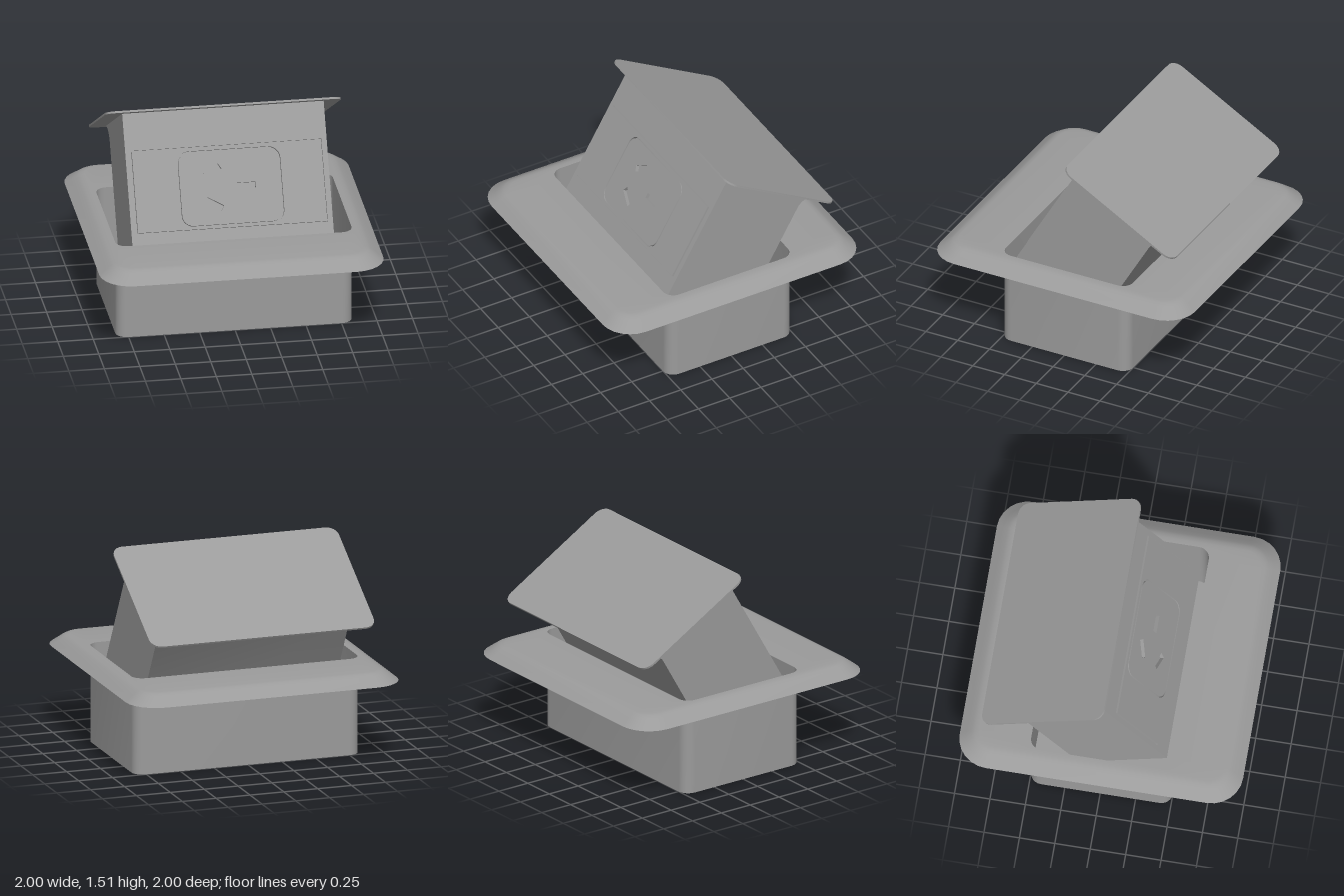
import * as THREE from 'three';
import { toCreasedNormals } from 'three/addons/utils/BufferGeometryUtils.js';

const solid = new THREE.MeshStandardMaterial({ color: 0x9b9b9b });
const sheet = new THREE.MeshStandardMaterial({ color: 0x9b9b9b, side: THREE.DoubleSide });

function addMesh(parent, name, geometry, material = solid) {
  const mesh = new THREE.Mesh(toCreasedNormals(geometry, 0.5), material);
  mesh.name = name;
  parent.add(mesh);
}

// Skin through rounded rectangles [halfX, halfZ, cornerRadius, y]
function loft(rings) {
  const steps = 6, count = 4 * (steps + 1);
  const positions = [], index = [];
  for (const [hx, hz, r, y] of rings) {
    for (let c = 0; c < 4; c++) {
      const sx = c === 0 || c === 3 ? 1 : -1, sz = c < 2 ? -1 : 1;
      for (let s = 0; s <= steps; s++) {
        const a = (c + s / steps) * Math.PI / 2;
        positions.push(sx * (hx - r) + r * Math.cos(a), y, sz * (hz - r) - r * Math.sin(a));
      }
    }
  }
  for (let i = 0; i < rings.length - 1; i++) {
    for (let j = 0; j < count; j++) {
      const k = (j + 1) % count;
      const a = i * count + j, b = i * count + k;
      index.push(a, b, b + count, a, b + count, a + count);
    }
  }
  const geometry = new THREE.BufferGeometry();
  geometry.setAttribute('position', new THREE.Float32BufferAttribute(positions, 3));
  geometry.setIndex(index);
  return geometry;
}

// Rounded rectangle outline, optionally turned about its centre
function roundedRect(PathType, cx, cy, w, h, r, turn = 0) {
  const points = [];
  const steps = r > 0 ? 6 : 0;
  for (let c = 0; c < 4; c++) {
    const sx = c === 0 || c === 3 ? 1 : -1, sy = c < 2 ? 1 : -1;
    for (let s = 0; s <= steps; s++) {
      const a = (c + (steps ? s / steps : 0)) * Math.PI / 2;
      const p = new THREE.Vector2(sx * (w / 2 - r) + r * Math.cos(a), sy * (h / 2 - r) + r * Math.sin(a));
      points.push(p.rotateAround(new THREE.Vector2(), turn).add(new THREE.Vector2(cx, cy)));
    }
  }
  return new PathType(points);
}

// Extrude an outline between two depths
function slab(shape, z0, z1) {
  return new THREE.ExtrudeGeometry(shape, { depth: z1 - z0, bevelEnabled: false }).translate(0, 0, z0);
}

export function createModel() {
  const model = new THREE.Group();
  model.name = 'popUpSocket';

  // Open-topped thin box
  const wall = [0.833, 0.5, 0.08];
  addMesh(model, 'housing', loft([[0, 0, 0, 0], [...wall, 0], [...wall, 0.695]]), sheet);

  // Thin sloping rim, hollow underneath, from the outer edge to the opening
  addMesh(model, 'rim', loft([
    [1, 1, 0.22, 0.615],
    [0.955, 0.955, 0.19, 0.65],
    [0.92, 0.92, 0.16, 0.676],
    [0.895, 0.895, 0.14, 0.689],
    [0.865, 0.865, 0.12, 0.695],
    [...wall, 0.695],
  ]), sheet);

  // Tilted unit, origin at the top of its front face
  const popUp = new THREE.Group();
  popUp.name = 'popUpUnit';
  popUp.position.set(0, 1.46, -0.05);
  popUp.rotation.x = -Math.PI / 6;
  model.add(popUp);

  // Block with a concave fillet running out under the lid
  const depth = 0.02, bottom = -1, halfWidth = 0.71;
  const side = new THREE.Shape();
  side.moveTo(-depth, bottom);
  side.lineTo(-depth, 0);
  side.lineTo(-0.85, 0);
  side.quadraticCurveTo(-0.725, -0.03, -0.714, -0.125);
  side.lineTo(-0.714, bottom);
  const block = new THREE.ExtrudeGeometry(side, { depth: 2 * halfWidth, bevelEnabled: false, curveSegments: 12 });
  addMesh(popUp, 'body', block.rotateY(-Math.PI / 2).translate(halfWidth, 0, 0));

  // Front wall, with a narrow groove left around the face plate
  const front = roundedRect(THREE.Shape, 0, bottom / 2, 2 * halfWidth, -bottom, 0);
  front.holes.push(roundedRect(THREE.Path, 0, -0.559, 1.346, 0.586, 0));
  addMesh(popUp, 'frontWall', slab(front, -depth, 0));

  // Slightly raised face plate, open for the socket
  const raised = 0.008;
  const [cx, cy, w, h] = [0.01, -0.562, 0.728, 0.532];
  const plate = roundedRect(THREE.Shape, 0, -0.559, 1.33, 0.57, 0);
  plate.holes.push(roundedRect(THREE.Path, cx, cy, w, h, 0.085));
  addMesh(popUp, 'facePlate', slab(plate, -depth, raised));

  // Socket insert with three slots, set inside a narrow groove
  const insert = roundedRect(THREE.Shape, cx, cy, w - 0.018, h - 0.018, 0.076);
  for (const [x, y, turn] of [[0.122, -0.558, 0], [-0.112, -0.444, 0.52], [-0.112, -0.676, -0.52]]) {
    insert.holes.push(roundedRect(THREE.Path, x, y, 0.128, 0.044, 0, turn));
  }
  addMesh(popUp, 'socketInsert', slab(insert, -depth, raised));

  // Thin lid overhanging the block
  const lid = slab(roundedRect(THREE.Shape, 0, 0.416, 1.66, 0.995, 0.08), 0, 0.014);
  addMesh(popUp, 'lid', lid.rotateX(-Math.PI / 2).translate(0, -0.003, 0));

  return model;
}
